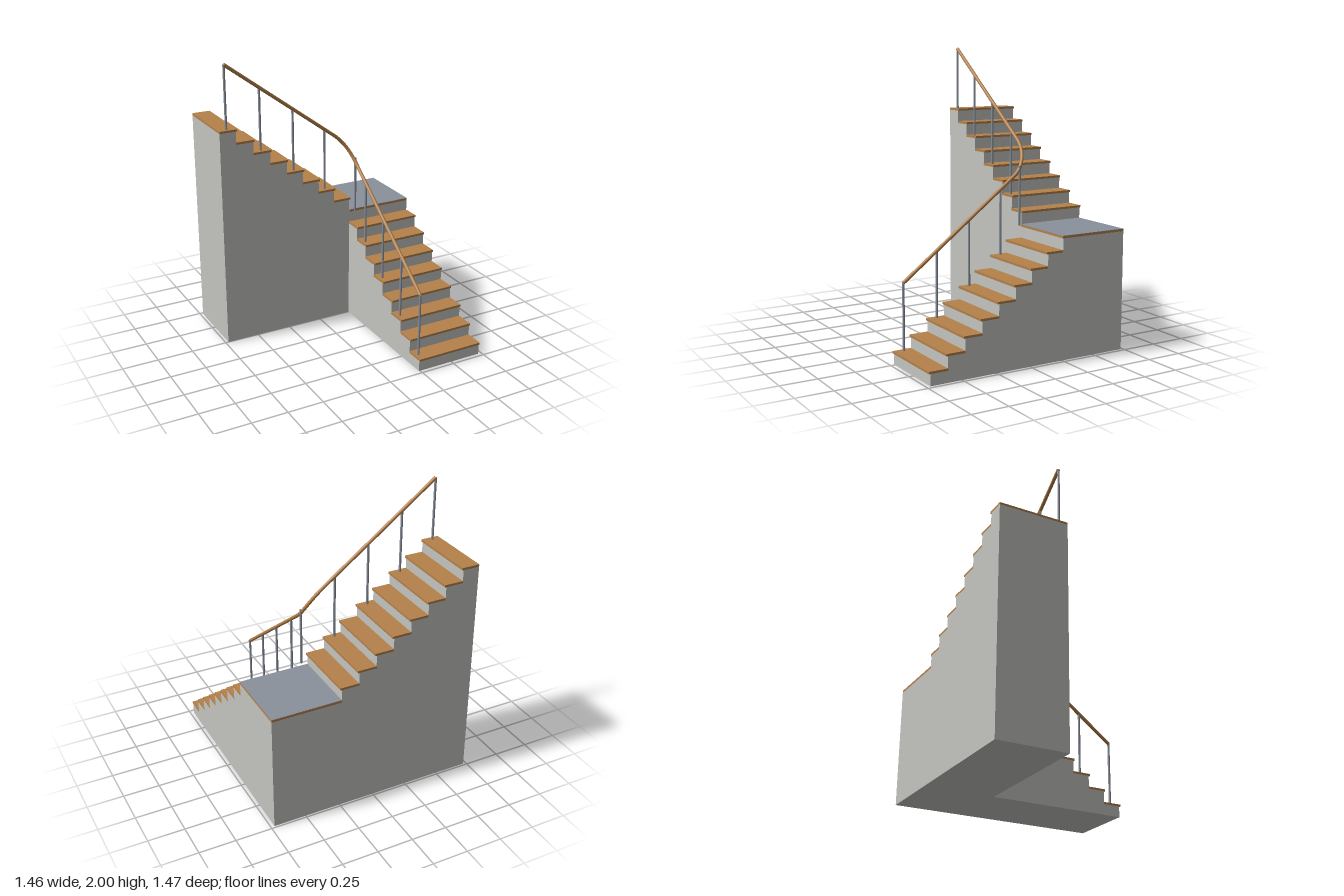
import * as THREE from 'three';

const RISE = 0.0914, RUN = 0.122, STEPS = 8, WIDTH = 0.485, TREAD = 0.015;
const FRONT = 0.24, BACK = -0.73, NOSE = 0.01;

export function createModel() {
  const model = new THREE.Group();
  const material = (name, color) => {
    const m = new THREE.MeshStandardMaterial({ color });
    m.name = name;
    return m;
  };
  const concrete = material('concrete', 0xc4c4c0);
  const wood = material('wood', 0xb5814a);
  const steel = material('steel', 0x8a919b);

  const add = (parent, name, geometry, mat, x = 0, y = 0, z = 0) => {
    const mesh = new THREE.Mesh(geometry, mat);
    mesh.name = name;
    mesh.position.set(x, y, z);
    parent.add(mesh);
    return mesh;
  };

  // One straight flight climbing toward -x, solid down to the ground
  function flight(name, baseY) {
    const group = new THREE.Group();
    group.name = name;
    const outline = new THREE.Shape();
    outline.moveTo(BACK, 0).lineTo(FRONT, 0);
    for (let i = 0; i < STEPS; i++) {
      const front = FRONT - i * RUN;
      const back = i === STEPS - 1 ? BACK : front - RUN;
      const top = baseY + (i + 1) * RISE;
      outline.lineTo(front, top - TREAD).lineTo(back, top - TREAD);
      const nose = front + NOSE;
      const end = Math.max(BACK, back - 0.002);
      add(group, 'tread', new THREE.BoxGeometry(nose - end, TREAD, WIDTH), wood,
        (nose + end) / 2, top - TREAD / 2, WIDTH / 2);
    }
    outline.closePath();
    add(group, 'steppedBase',
      new THREE.ExtrudeGeometry(outline, { depth: WIDTH, bevelEnabled: false }), concrete);
    model.add(group);
    return group;
  }

  const landingY = RISE * 9;
  const lower = flight('lowerFlight', 0);
  lower.rotation.y = -Math.PI / 2;
  lower.position.set(0.725, 0, 0.482);
  flight('upperFlight', landingY).position.z = -0.735;

  // Corner landing: block, wooden slab and grey floor plate
  add(model, 'landingBase', new THREE.BoxGeometry(WIDTH, landingY - TREAD, 0.487), concrete,
    0.4825, (landingY - TREAD) / 2, -0.4915);
  add(model, 'landingSlab', new THREE.BoxGeometry(WIDTH, TREAD, 0.49), wood,
    0.4825, landingY - TREAD / 2, -0.49);
  add(model, 'landingFloor', new THREE.BoxGeometry(WIDTH, 0.002, 0.488), steel,
    0.4825, landingY + 0.001, -0.49);

  // Handrail: two straight slopes joined by a swept corner
  const v = (x, y, z) => new THREE.Vector3(x, y, z);
  const railX = 0.268, railZ = -0.28;
  const start = v(railX, 0.535, 0.665), end = v(-0.67, 1.988, railZ);
  const bendIn = v(railX, 1.162, -0.17), bendOut = v(0.13, 1.392, railZ);
  const rail = new THREE.CurvePath();
  rail.add(new THREE.LineCurve3(start, bendIn));
  rail.add(new THREE.CubicBezierCurve3(bendIn, v(railX, 1.212, -0.235),
    v(0.235, 1.314, railZ), bendOut));
  rail.add(new THREE.LineCurve3(bendOut, end));
  add(model, 'handrail', new THREE.TubeGeometry(rail, 120, 0.012, 12, false), wood);
  for (const [point, dir] of [[start, v(0, -0.6, 0.8)], [end, v(-0.8, 0.6, 0)]]) {
    const cap = add(model, 'handrailEnd', new THREE.CircleGeometry(0.012, 12), wood,
      point.x, point.y, point.z);
    cap.quaternion.setFromUnitVectors(v(0, 0, 1), dir);
  }

  // Balusters on every second step, plus one at the corner
  const post = (x, z, bottom, top) =>
    add(model, 'baluster', new THREE.CylinderGeometry(0.008, 0.008, top - bottom, 12), steel,
      x, (bottom + top) / 2, z);
  for (let i = 0; i < 4; i++) {
    const t = i * 0.2425;
    post(railX, 0.665 - t, RISE * (1 + 2 * i), 0.535 + t * 0.751);
    post(-0.67 + t, railZ, RISE * (17 - 2 * i), 1.988 - t * 0.745);
  }
  post(railX, -0.213, landingY, 1.225);

  return model;
}
